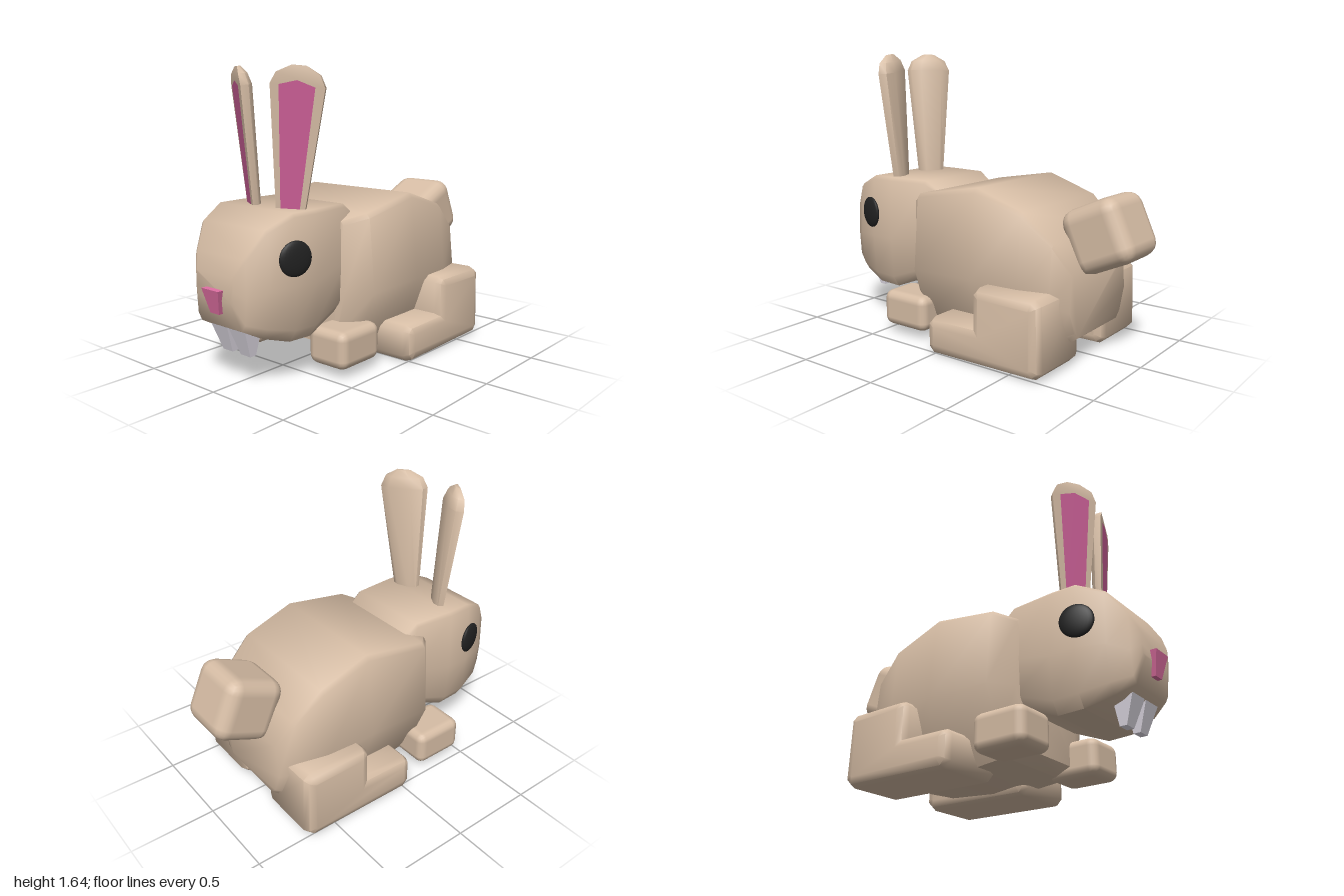
import * as THREE from 'three';
import { toCreasedNormals } from 'three/addons/utils/BufferGeometryUtils.js';
import { RoundedBoxGeometry } from 'three/addons/geometries/RoundedBoxGeometry.js';

const mat = (color) => new THREE.MeshStandardMaterial({ color });
const fur = mat(0xd6bda5);
const pink = mat(0xcc5f97);
const nosePink = mat(0xe070a3);
const black = mat(0x222222);
const ivory = mat(0xe9e4ee);
pink.side = THREE.DoubleSide;

function part(name, geometry, material, x = 0, y = 0, z = 0) {
  const mesh = new THREE.Mesh(geometry, material);
  mesh.name = name;
  mesh.position.set(x, y, z);
  return mesh;
}

// Skin a list of equal-length convex rings (counter-clockwise, rising z) and cap both ends.
function loft(rings, crease = 1) {
  const n = rings[0].length, index = [];
  rings.slice(1).forEach((_, i) => {
    for (let j = 0; j < n; j++) {
      const a = i * n + j, b = i * n + (j + 1) % n;
      index.push(a, b, a + n, b, b + n, a + n);
    }
  });
  const last = (rings.length - 1) * n;
  for (let j = 1; j < n - 1; j++) {
    index.push(0, j + 1, j, last, last + j, last + j + 1);
  }
  const g = new THREE.BufferGeometry();
  g.setAttribute('position', new THREE.Float32BufferAttribute(rings.flat(2), 3));
  g.setIndex(index);
  return toCreasedNormals(g, crease);
}

// Soft-cornered box section: bottom, middle and top half widths.
function section([z, yb, yt, wb, wm, wt]) {
  const h = yt - yb;
  const half = [[wb * 0.85, yb], [wb, yb + h * 0.1], [wm, yb + h * 0.45], [wt, yt - h * 0.03], [wt * 0.94, yt]];
  const mirrored = half.map(([x, y]) => [-x, y]).reverse();
  return [...half, ...mirrored].map(([x, y]) => [x, y, z]);
}

// Tapered block from a top and a bottom rectangle [x0, x1, z0, z1, y].
function taper(bottom, top) {
  const ring = ([x0, x1, z0, z1, y]) => [[x0, -z1, y], [x1, -z1, y], [x1, -z0, y], [x0, -z0, y]];
  return loft([ring(bottom), ring(top)], 0.5).rotateX(-Math.PI / 2);
}

// Ear with a flat front, a bulging back and a coloured inner panel.
function ear(name, halfWidth, x, z, yaw, lean, tilt) {
  const rings = [
    [-0.06, 0.075, 0.05, 0], [0.64, halfWidth, 0.075, 0],
    [0.70, halfWidth * 0.8, 0.06, 0], [0.74, halfWidth * 0.28, 0.035, 0.012],
  ].map(([h, w, d, f]) => [[-w, f, h], [w, f, h], [w * 0.93, d * 0.6, h],
    [w * 0.5, d, h], [-w * 0.5, d, h], [-w * 0.93, d * 0.6, h]]);
  const group = new THREE.Group();
  group.name = name;
  group.add(part('earShell', loft(rings, 0.9).rotateX(-Math.PI / 2), fur));
  const w = halfWidth * 0.66;
  const panel = new THREE.Shape([[-0.052, -0.02], [0.052, -0.02], [w, 0.64], [0, 0.668], [-w, 0.64]]
    .map((p) => new THREE.Vector2(...p)));
  group.add(part('innerEar', new THREE.ShapeGeometry(panel), pink, 0, 0, 0.004));
  group.position.set(x, 0.9, z);
  group.rotation.set(tilt, yaw, lean, 'XZY');
  return group;
}

// Folded hind leg: long foot with a raised thigh block at the back.
function hindLegGeometry() {
  const b = 0.05, width = 0.415;
  const outline = [[-0.66, 0.01], [0.0, 0], [0.04, 0.04], [0.04, 0.18], [0.01, 0.21], [-0.27, 0.215],
    [-0.27, 0.4], [-0.30, 0.43], [-0.65, 0.43], [-0.69, 0.4], [-0.7, 0.05]];
  const g = new THREE.ExtrudeGeometry(new THREE.Shape(outline.map((p) => new THREE.Vector2(...p))), {
    depth: width - 2 * b, bevelThickness: b, bevelSize: b, bevelOffset: -b, bevelSegments: 2,
  });
  g.translate(0, 0, b - width / 2).rotateY(-Math.PI / 2);
  return toCreasedNormals(g, 0.9);
}

export function createModel() {
  const model = new THREE.Group();
  model.name = 'rabbit';

  // Body, back to front: z, bottom, top, half widths
  model.add(part('body', loft([
    [-0.73, 0.16, 0.52, 0.25, 0.3, 0.28],
    [-0.65, 0.1, 0.68, 0.29, 0.38, 0.35],
    [-0.48, 0.05, 0.83, 0.31, 0.42, 0.385],
    [-0.18, 0.03, 0.93, 0.32, 0.435, 0.39],
    [0.22, 0.07, 0.86, 0.32, 0.435, 0.4],
    [0.32, 0.11, 0.82, 0.26, 0.31, 0.3],
  ].map(section)), fur, -0.01));

  // Head, tapering to the muzzle
  model.add(part('head', loft([
    [0.2, 0.38, 0.86, 0.25, 0.27, 0.26],
    [0.28, 0.33, 0.91, 0.27, 0.28, 0.275],
    [0.53, 0.23, 0.91, 0.29, 0.305, 0.295],
    [0.68, 0.235, 0.91, 0.285, 0.305, 0.29],
    [0.83, 0.28, 0.84, 0.24, 0.26, 0.245],
    [0.925, 0.33, 0.7, 0.18, 0.19, 0.185],
    [0.965, 0.48, 0.61, 0.135, 0.14, 0.14],
  ].map(section)), fur, -0.01));

  model.add(ear('leftEar', 0.15, 0.157, 0.588, 0.38, -0.1, 0.01));
  model.add(ear('rightEar', 0.135, -0.142, 0.592, -0.55, 0.065, 0.075));

  for (const [side, s] of [['left', 1], ['right', -1]]) {
    // Eyes: flattened balls turned slightly forward
    const eye = part(side + 'Eye', new THREE.SphereGeometry(0.093, 24, 16), black, s * 0.304 - 0.008, 0.685, 0.695);
    eye.scale.x = 0.25;
    eye.rotation.y = -s * 0.3;
    model.add(eye);

    // Legs
    model.add(part(side + 'FrontLeg', new RoundedBoxGeometry(0.26, 0.21, 0.32, 2, 0.05), fur,
      s * 0.328 - 0.032, 0.155, 0.32));
    model.add(part(side + 'HindLeg', hindLegGeometry(), fur, s * 0.328, 0, 0));

    // Front teeth
    model.add(part(side + 'Tooth',
      taper([-0.036, 0.036, 0.79, 0.83, 0.16], [-0.064, 0.064, 0.77, 0.89, 0.32]), ivory, s * 0.068 - 0.007));
  }

  // Nose
  model.add(part('nose', taper([-0.033, 0.033, 0.9, 0.97, 0.405], [-0.063, 0.063, 0.92, 1.0, 0.535]), nosePink, -0.007));

  // Tail
  const tail = part('tail', new RoundedBoxGeometry(0.37, 0.36, 0.36, 2, 0.08), fur, -0.005, 0.702, -0.79);
  tail.rotation.x = 0.42;
  model.add(tail);

  return model;
}
